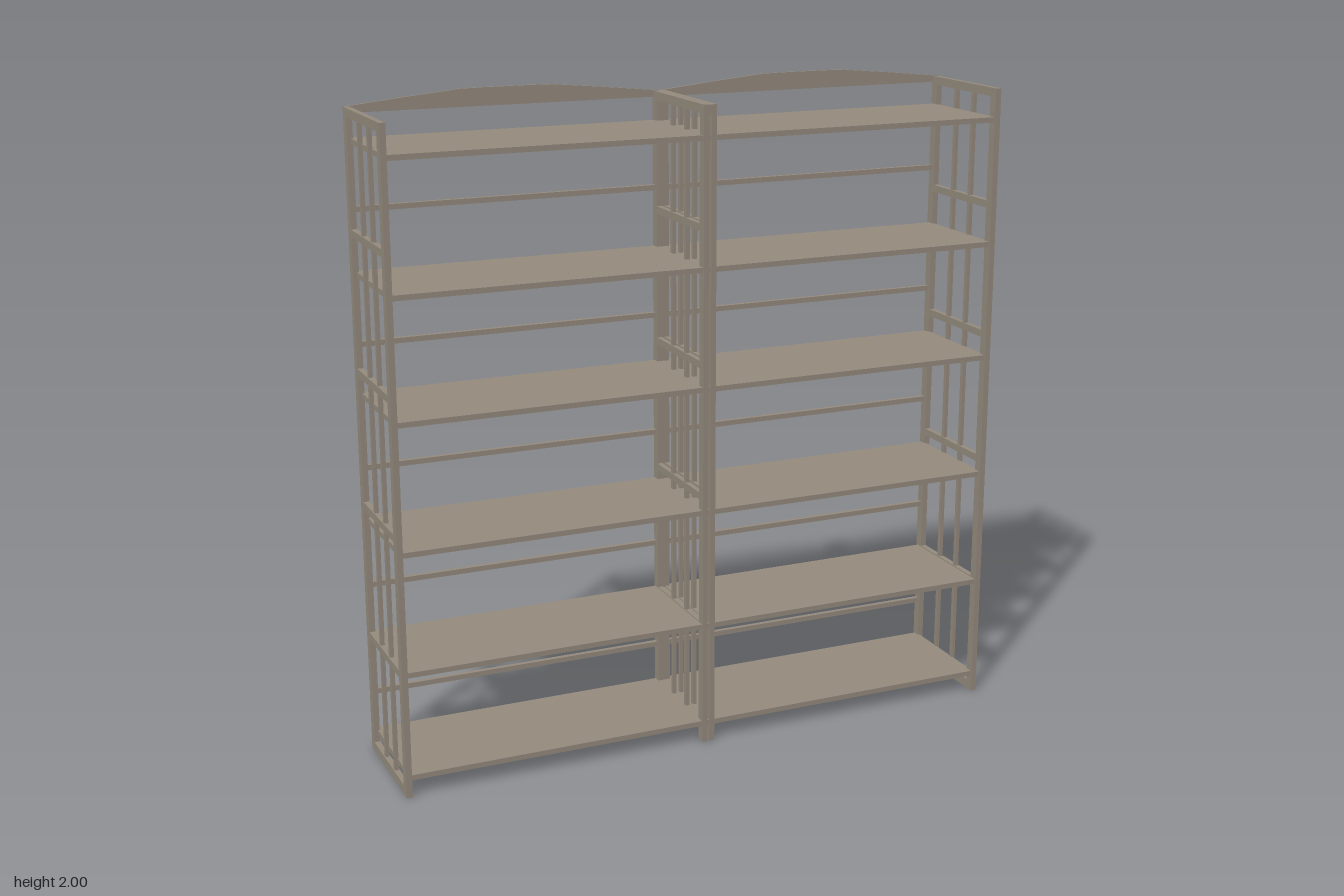
import * as THREE from 'three';

const material = new THREE.MeshStandardMaterial({ color: 0x968c7f });

// Box given by its extents on each axis
function bar(parent, name, [x0, x1], [y0, y1], [z0, z1]) {
  const mesh = new THREE.Mesh(new THREE.BoxGeometry(x1 - x0, y1 - y0, z1 - z0), material);
  mesh.name = name;
  mesh.position.set((x0 + x1) / 2, (y0 + y1) / 2, (z0 + z1) / 2);
  parent.add(mesh);
}

const TOP = 1.965, DEPTH = 0.188, HALF = 0.965;
const POST = 0.03;
const inner = [-DEPTH + POST, DEPTH - POST];

// Upright ladder frame: posts, top rail, cross rails and two slats
function sideFrame(name, xs, hasBottomRail) {
  const g = new THREE.Group();
  g.name = name;
  bar(g, 'frontPost', xs, [0, TOP], [DEPTH - POST, DEPTH]);
  bar(g, 'backPost', xs, [0, TOP], [-DEPTH, -DEPTH + POST]);
  bar(g, 'topRail', xs, [TOP - 0.026, TOP], inner);
  if (hasBottomRail) bar(g, 'bottomRail', xs, [0, 0.03], inner);
  for (const y of [0.38, 0.793, 1.2, 1.609]) bar(g, 'crossRail', xs, [y - 0.011, y + 0.011], inner);
  const mid = (xs[0] + xs[1]) / 2;
  for (const z of [-0.05, 0.05]) {
    bar(g, 'slat', [mid - 0.006, mid + 0.006], [hasBottomRail ? 0.03 : 0.06, TOP - 0.026], [z - 0.007, z + 0.007]);
  }
  return g;
}

export function createModel() {
  const model = new THREE.Group();
  model.name = 'doubleShelfUnit';

  // End frames and the paired centre frames
  model.add(sideFrame('leftFrame', [HALF - 0.018, HALF], true));
  model.add(sideFrame('rightFrame', [-HALF, -HALF + 0.018], true));
  model.add(sideFrame('centreFrameLeft', [0.004, 0.02], false));
  model.add(sideFrame('centreFrameRight', [-0.02, -0.004], false));
  // Strips closing the gap between the centre frames at the back and top
  bar(model, 'centreBackStrip', [-0.004, 0.004], [0, TOP], [-DEPTH, -DEPTH + POST]);
  bar(model, 'centreTopStrip', [-0.004, 0.004], [TOP - 0.026, TOP], [-DEPTH + POST, DEPTH]);

  // Shelves
  const span = [-HALF + 0.012, HALF - 0.012];
  for (const y of [0.06, 0.38, 0.745, 1.127, 1.487, 1.87]) {
    bar(model, 'shelf', span, [y - 0.008, y + 0.008], [-0.18, 0.183]);
  }

  // Back rails halfway between shelves
  for (const y of [0.192, 0.538, 0.905, 1.28, 1.675]) {
    bar(model, 'backRail', span, [y - 0.008, y + 0.008], [-0.183, -0.168]);
  }

  // Arched crest boards
  for (const side of [-1, 1]) {
    const cx = side * HALF / 2, w = HALF / 2;
    const shape = new THREE.Shape([
      [-w, 1.947], [w, 1.947], [w, 1.965], [0.3, 1.984], [0.14, 1.999],
      [0.07, 2], [-0.07, 2], [-0.14, 1.999], [-0.3, 1.984], [-w, 1.965],
    ].map(([x, y]) => new THREE.Vector2(x, y)));
    const crest = new THREE.Mesh(new THREE.ExtrudeGeometry(shape, { depth: 0.008, bevelEnabled: false }), material);
    crest.name = 'crestBoard';
    crest.position.set(cx, 0, -DEPTH);
    model.add(crest);
  }
  return model;
}
